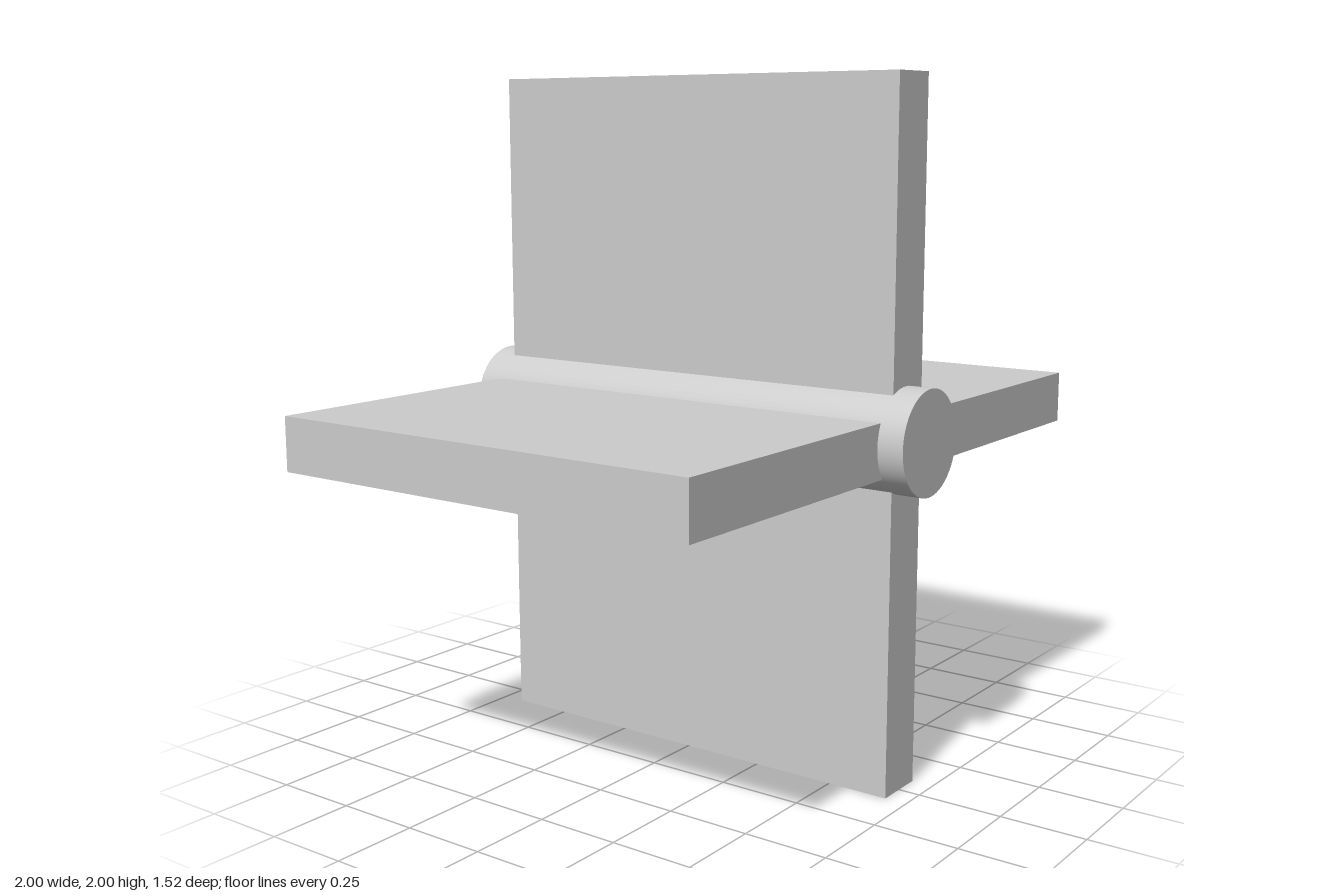
import * as THREE from 'three';

const THICKNESS = 0.156;
const DEPTH = 1.37;

export function createModel() {
  const model = new THREE.Group();
  model.name = 'paddleWheel';
  const material = new THREE.MeshStandardMaterial({ color: 0xcccccc });

  const add = (name, geometry, x, y) => {
    const mesh = new THREE.Mesh(geometry, material);
    mesh.name = name;
    mesh.position.set(x, y, 0);
    model.add(mesh);
  };

  // Two full-width slabs crossing at the hub form the four blades
  add('verticalBlades', new THREE.BoxGeometry(THICKNESS, 2, DEPTH), 0, 1);
  add('horizontalBlades', new THREE.BoxGeometry(2, THICKNESS, DEPTH), 0, 1);

  // Axle runs front to back, slightly off centre, and protrudes at both ends
  const axle = new THREE.CylinderGeometry(0.15, 0.15, 1.524, 64).rotateX(Math.PI / 2);
  add('axle', axle, -0.009, 1.011);

  return model;
}
